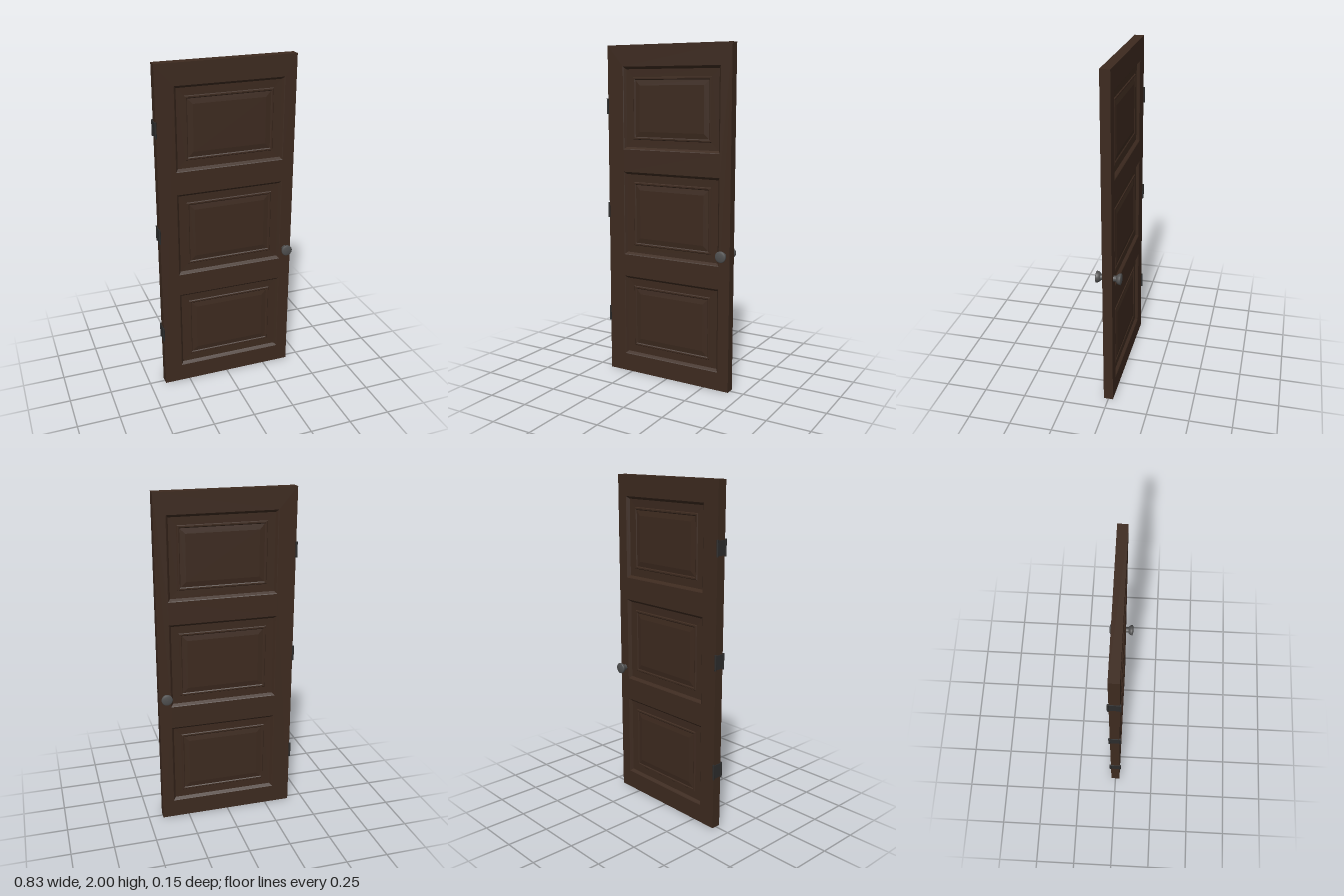
import * as THREE from 'three';

const wood = new THREE.MeshStandardMaterial({ color: 0x3d2a1f });
const knobMetal = new THREE.MeshStandardMaterial({ color: 0x505050 });
const hingeMetal = new THREE.MeshStandardMaterial({ color: 0x2c2c2c });

const LEFT = -0.406, RIGHT = 0.413, HALF = 0.028;
const PANEL_X = 0.022, PANEL_W = 0.644;
const PANELS = [[0.11, 0.612], [0.747, 1.256], [1.39, 1.876]]; // bottom, top

// Panel moulding: [inset from the opening, z]
const MOULDING = [
  [0, HALF], [0.004, 0.025], [0.015, 0.011], [0.06, 0.010],
  [0.064, 0.015], [0.072, 0.015], [0.077, 0.011], [0.108, 0.016],
];

function add(parent, name, geometry, material, x = 0, y = 0, z = 0) {
  const mesh = new THREE.Mesh(geometry, material);
  mesh.name = name;
  mesh.position.set(x, y, z);
  parent.add(mesh);
  return mesh;
}

// Nested rectangles joined into stepped, mitred mouldings and closed by a flat field
function panelGeometry(w, h) {
  const pos = [];
  const rings = MOULDING.map(([inset, z]) => {
    const a = w / 2 - inset, b = h / 2 - inset;
    return [[-a, -b, z], [a, -b, z], [a, b, z], [-a, b, z]];
  });
  const quad = (a, b, c, d) => pos.push(...a, ...b, ...c, ...a, ...c, ...d);
  for (let i = 0; i < rings.length - 1; i++) {
    for (let k = 0; k < 4; k++) {
      const n = (k + 1) % 4;
      quad(rings[i][k], rings[i][n], rings[i + 1][n], rings[i + 1][k]);
    }
  }
  quad(...rings[rings.length - 1]);
  const g = new THREE.BufferGeometry();
  g.setAttribute('position', new THREE.Float32BufferAttribute(pos, 3));
  g.computeVertexNormals();
  return g;
}

function rectangle(target, x0, y0, x1, y1) {
  target.moveTo(x0, y0);
  target.lineTo(x1, y0);
  target.lineTo(x1, y1);
  target.lineTo(x0, y1);
  target.closePath();
  return target;
}

export function createModel() {
  const door = new THREE.Group();
  door.name = 'door';

  // Stiles and rails as one slab with three openings
  const outline = rectangle(new THREE.Shape(), LEFT, 0, RIGHT, 2);
  for (const [y0, y1] of PANELS) {
    outline.holes.push(rectangle(new THREE.Path(),
      PANEL_X - PANEL_W / 2, y0, PANEL_X + PANEL_W / 2, y1));
  }
  add(door, 'frame', new THREE.ExtrudeGeometry(outline, { depth: 2 * HALF, bevelEnabled: false }),
    wood, 0, 0, -HALF);

  // Raised panels on both faces
  for (const [y0, y1] of PANELS) {
    const g = panelGeometry(PANEL_W, y1 - y0);
    add(door, 'frontPanel', g, wood, PANEL_X, (y0 + y1) / 2);
    add(door, 'backPanel', g, wood, PANEL_X, (y0 + y1) / 2).rotation.y = Math.PI;
  }

  // Hinges: a leaf on the door edge with a pin at each corner
  for (const y of [0.36, 1.015, 1.645]) {
    const hinge = new THREE.Group();
    hinge.name = 'hinge';
    hinge.position.set(-0.408, y, 0);
    add(hinge, 'hingeLeaf', new THREE.BoxGeometry(0.005, 0.082, 0.058), hingeMetal);
    for (const side of [-1, 1]) {
      add(hinge, 'hingePin', new THREE.CylinderGeometry(0.006, 0.006, 0.092, 12),
        hingeMetal, 0, 0, side * 0.031);
    }
    door.add(hinge);
  }

  // Knobs: a flared head on a short neck, one per face
  const profile = [
    [0.017, 0.02], [0.017, 0.044], [0.021, 0.046], [0.027, 0.051], [0.031, 0.058],
    [0.033, 0.066], [0.033, 0.070], [0.030, 0.072], [0.022, 0.074], [0.012, 0.0755], [0, 0.076],
  ].map(([r, h]) => new THREE.Vector2(r, h));
  const knobGeometry = new THREE.LatheGeometry(profile, 24);
  for (const side of [1, -1]) {
    const knob = add(door, side > 0 ? 'frontKnob' : 'backKnob', knobGeometry, knobMetal, 0.374, 0.815);
    knob.rotation.x = side * Math.PI / 2;
  }

  return door;
}
